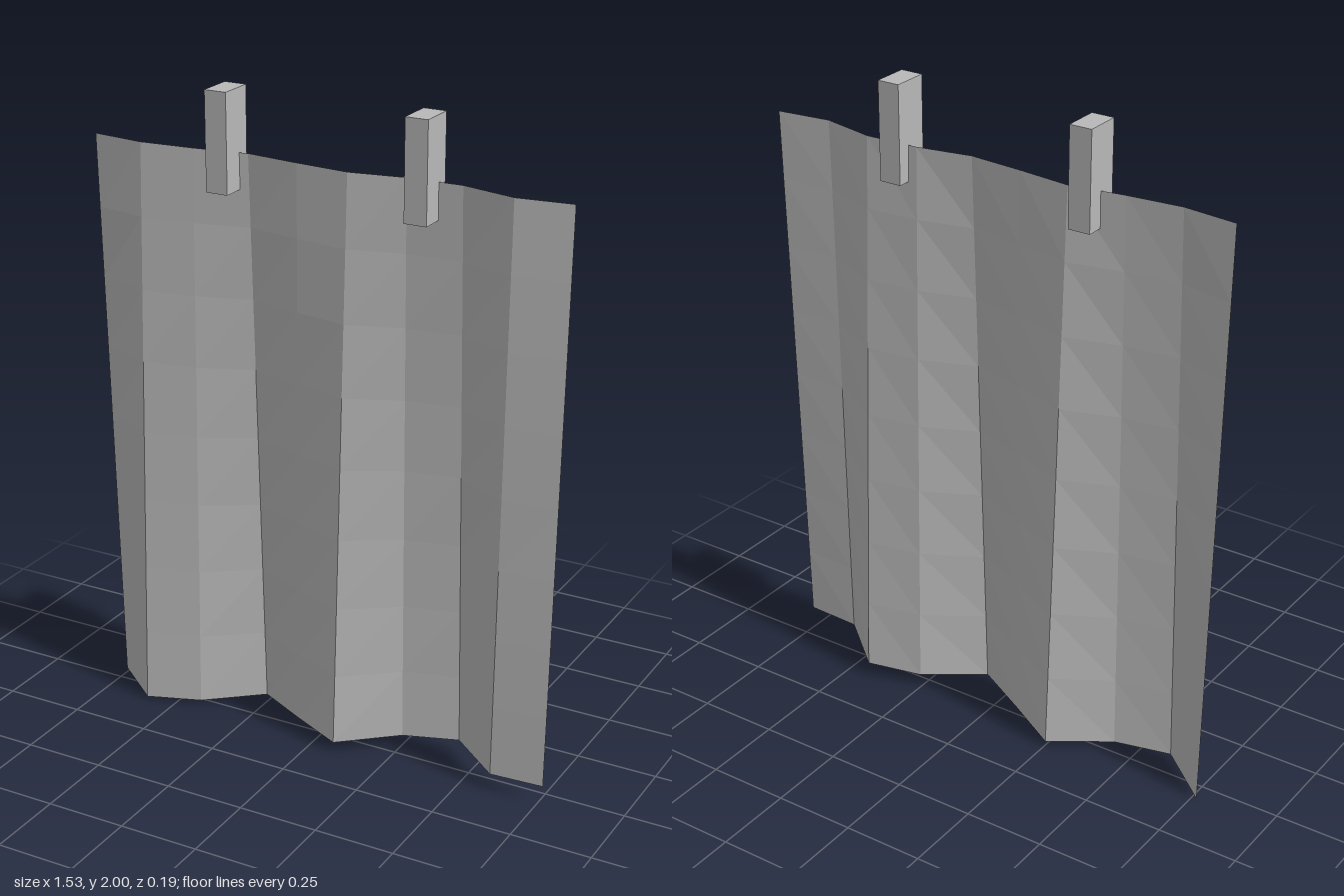
import * as THREE from 'three';

export function createModel() {
  const model = new THREE.Group();
  const grey = new THREE.MeshStandardMaterial({ color: 0xb8b8b8, side: THREE.DoubleSide, flatShading: true });
  grey.name = 'plain grey';

  // Hanging cloth: folds deepen from the top edge to the slanted hem
  const width = 1.53, top = 1.81, columns = 9, rows = 8;
  const topFold = [0, 0.02, 0.005, -0.02, 0.0, 0.015, -0.015, -0.02, 0.02, 0.0];
  const hemFold = [-0.06, 0.08, 0.03, -0.095, 0.0, 0.09, -0.04, -0.087, 0.058, 0.058];
  const sheet = new THREE.PlaneGeometry(width, 1, columns, rows);
  const pos = sheet.attributes.position;
  for (let r = 0; r <= rows; r++) {
    for (let c = 0; c <= columns; c++) {
      const t = r / rows;
      const hem = 0.06 * c / columns;
      const i = r * (columns + 1) + c;
      pos.setY(i, THREE.MathUtils.lerp(top, hem, t));
      pos.setZ(i, THREE.MathUtils.lerp(topFold[c], hemFold[c], t));
    }
  }
  sheet.computeVertexNormals();
  const cloth = new THREE.Mesh(sheet, grey);
  cloth.name = 'cloth';
  model.add(cloth);

  // Two pegs gripping the top edge
  for (const [side, name] of [[-1, 'rightPeg'], [1, 'leftPeg']]) {
    const peg = new THREE.Mesh(new THREE.BoxGeometry(0.07, 0.3, 0.112), grey);
    peg.position.set(side * 0.317, 1.85, -0.002);
    peg.name = name;
    model.add(peg);
  }
  return model;
}
